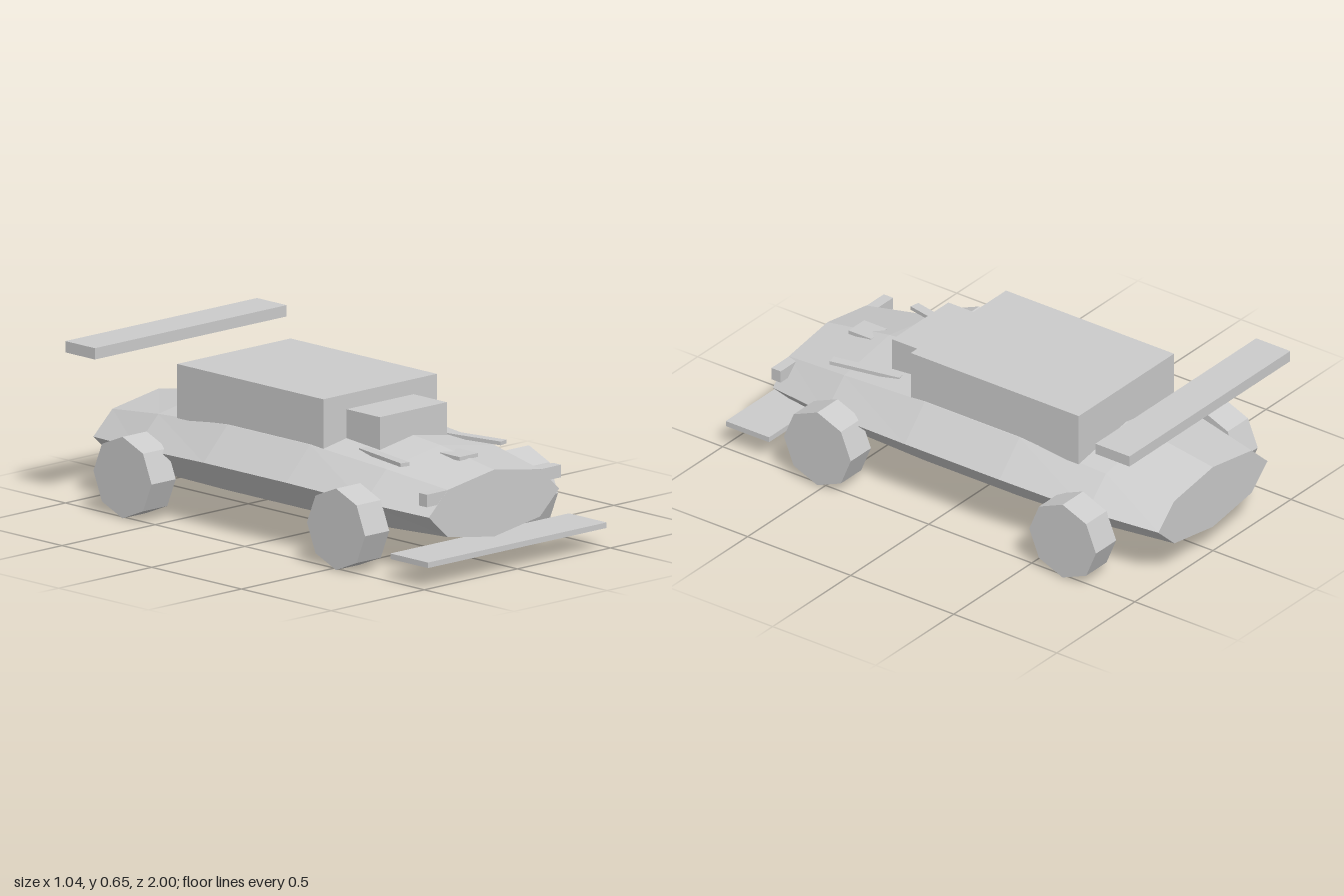
import * as THREE from 'three';

const material = new THREE.MeshStandardMaterial({ color: 0xcccccc, flatShading: true });

function addMesh(parent, name, geometry, x = 0, y = 0, z = 0) {
  const mesh = new THREE.Mesh(geometry, material);
  mesh.name = name;
  mesh.position.set(x, y, z);
  parent.add(mesh);
  return mesh;
}

// Box given by its limits along each axis
function addBox(parent, name, [x0, x1], [y0, y1], [z0, z1]) {
  const geometry = new THREE.BoxGeometry(x1 - x0, y1 - y0, z1 - z0);
  return addMesh(parent, name, geometry, (x0 + x1) / 2, (y0 + y1) / 2, (z0 + z1) / 2);
}

// Hull lofted through eight-sided elliptical sections, with closed ends
function hullGeometry() {
  const sides = 8;
  const middle = -0.065;
  // distance from the middle, half width, half height, centre height
  const half = [[0.935, 0.35, 0.133, 0.241], [0.635, 0.41, 0.163, 0.258], [0.23, 0.437, 0.184, 0.273]];
  const sections = [
    ...half.map(([d, ...rest]) => [middle - d, ...rest]),
    ...half.map(([d, ...rest]) => [middle + d, ...rest]).reverse(),
  ];
  const positions = [];
  const index = [];
  for (const [z, rx, ry, cy] of sections) {
    for (let i = 0; i < sides; i++) {
      const a = (i / sides) * Math.PI * 2;
      positions.push(rx * Math.cos(a), cy + ry * Math.sin(a), z);
    }
  }
  for (let s = 0; s < sections.length - 1; s++) {
    for (let i = 0; i < sides; i++) {
      const a = s * sides + i;
      const b = s * sides + ((i + 1) % sides);
      index.push(a, b, b + sides, a, b + sides, a + sides);
    }
  }
  const last = (sections.length - 1) * sides;
  for (let i = 1; i < sides - 1; i++) {
    index.push(0, i + 1, i); // rear end
    index.push(last, last + i, last + i + 1); // front end
  }
  const geometry = new THREE.BufferGeometry();
  geometry.setAttribute('position', new THREE.Float32BufferAttribute(positions, 3));
  geometry.setIndex(index);
  const flat = geometry.toNonIndexed();
  flat.computeVertexNormals();
  return flat;
}

export function createModel() {
  const car = new THREE.Group();
  car.name = 'raceCar';

  addMesh(car, 'hull', hullGeometry());

  // Cabin and the stepped block ahead of it
  addBox(car, 'cabin', [-0.305, 0.305], [0.38, 0.595], [-0.58, 0.235]);
  addBox(car, 'windscreenBlock', [-0.18, 0.18], [0.39, 0.535], [0.22, 0.42]);

  // Wings
  addBox(car, 'rearWing', [-0.515, 0.515], [0.606, 0.651], [-0.985, -0.82]);
  addBox(car, 'frontSplitter', [-0.48, 0.48], [0.085, 0.107], [0.79, 1.0]);

  // Bonnet scoop
  addBox(car, 'bonnetScoop', [-0.05, 0.05], [0.393, 0.408], [0.62, 0.73]);

  // Wheels: one shared eight-sided cylinder lying along x, points up and down
  const wheel = new THREE.CylinderGeometry(0.162, 0.162, 0.13, 8).rotateZ(Math.PI / 2);
  const vent = new THREE.BoxGeometry(0.04, 0.015, 0.3);

  for (const [side, s] of [['left', 1], ['right', -1]]) {
    addMesh(car, `${side}FrontWheel`, wheel, s * 0.453, 0.164, 0.527);
    addMesh(car, `${side}RearWheel`, wheel, s * 0.453, 0.164, -0.663);

    // Headlight
    addMesh(car, `${side}Headlight`, new THREE.BoxGeometry(0.11, 0.05, 0.045), s * 0.305, 0.309, 0.847);

    // Bonnet strip, splayed outwards to the front
    addMesh(car, `${side}BonnetStrip`, vent, s * 0.235, 0.4, 0.502).rotation.y = s * 0.2;
  }

  return car;
}
